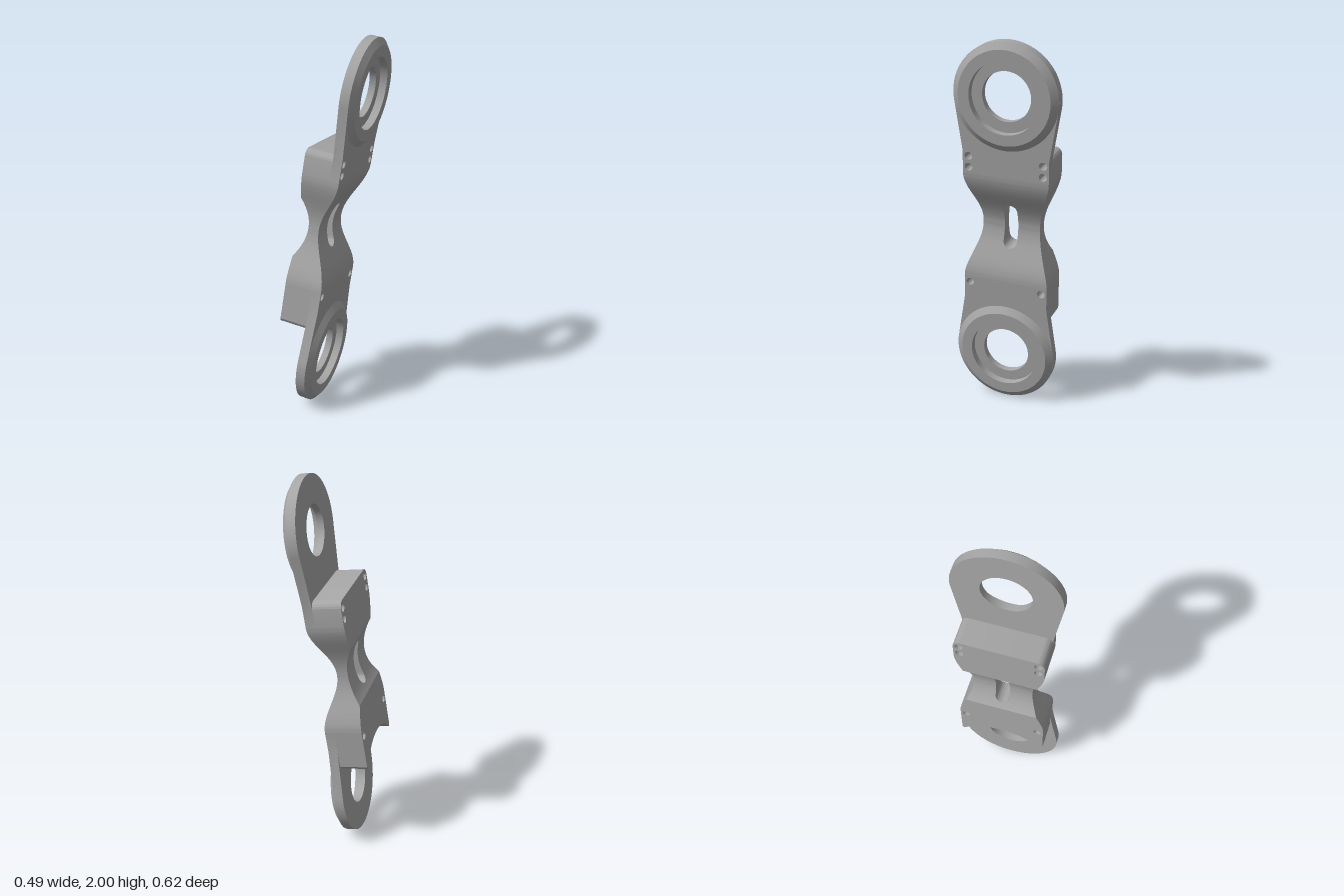
import * as THREE from 'three';
import { toCreasedNormals } from 'three/addons/utils/BufferGeometryUtils.js';

// Local frame: X = thickness (front face +X), Y = along the link, Z = width
const REACH = 0.727;   // ring centre distance from the middle
const RING = 0.28;     // ring outer radius
const HALF = 0.235;    // half width of the blocks
const SPLIT = 0.3;     // where the waist meets the end blocks
const PLATE = 0.05;    // plate front
const BACK = -0.15;    // block back

const ease = (t) => t * t * (3 - 2 * t);
const halfWidth = (y) => 0.16 + (HALF - 0.16) * ease(Math.pow(Math.min(1, Math.abs(y) / SPLIT), 1.15));
const frontX = (y) => -0.042 + (PLATE + 0.042) * (1 - Math.cos(Math.PI * Math.min(1, Math.abs(y) / SPLIT))) / 2;
const backX = (y) => (Math.abs(y) > 0.16 ? BACK : -0.1 - 0.05 * (y / 0.16) ** 2);

// Half width of the slot with round ends, zero outside it
const SLOT_R = 0.038, SLOT_END = 0.125;
function slot(y) {
  const over = Math.abs(y) - (SLOT_END - SLOT_R);
  if (over <= 0) return SLOT_R;
  return over >= SLOT_R ? 0 : Math.sqrt(SLOT_R * SLOT_R - over * over);
}

// One half of the waist, lofted from four-cornered sections
function waistHalf(side) {
  const ys = [];
  for (let i = 0; i <= 60; i++) ys.push(-SPLIT + (2 * SPLIT * i) / 60);
  for (let i = 0; i <= 10; i++) {
    const e = SLOT_END - SLOT_R + SLOT_R * Math.sin((i / 10) * Math.PI / 2);
    ys.push(e, -e);
  }
  ys.push(0.16, -0.16);
  ys.sort((a, b) => a - b);
  const rows = ys.filter((y, i) => i === 0 || y - ys[i - 1] > 1e-5).map((y) => {
    const a = slot(y) * side, b = halfWidth(y) * side, f = frontX(y), k = backX(y);
    return [[f, y, a], [f, y, b], [k, y, b], [k, y, a]];
  });
  const pos = [];
  for (let i = 0; i < rows.length - 1; i++) {
    const p = rows[i], q = rows[i + 1];
    for (let c = 0; c < 4; c++) {
      const d = (c + 1) % 4;
      // the inner wall exists only along the slot
      if (c === 3 && Math.abs(p[0][2]) < 1e-6 && Math.abs(q[0][2]) < 1e-6) continue;
      const quad = side > 0 ? [p[c], q[c], q[d], p[c], q[d], p[d]] : [p[c], q[d], q[c], p[c], p[d], q[d]];
      quad.forEach((v) => pos.push(...v));
    }
  }
  const g = new THREE.BufferGeometry();
  g.setAttribute('position', new THREE.Float32BufferAttribute(pos, 3));
  return toCreasedNormals(g, 0.5);
}

// Extrude a (width, length) shape between two X levels
function slab(shape, x0, x1) {
  const g = new THREE.ExtrudeGeometry(shape, { depth: x1 - x0, bevelEnabled: false, curveSegments: 40 });
  g.translate(0, 0, x0);
  g.rotateY(Math.PI / 2);
  return toCreasedNormals(g, 0.5);
}

function punch(shape, x, y, r) {
  shape.holes.push(new THREE.Path().absarc(x, y, r, 0, Math.PI * 2, true));
}

function screwHoles(shape, rows) {
  for (const y of rows) for (const s of [-1, 1]) punch(shape, s * 0.203, y, 0.021);
}

// End plate tapering out to a round eye
function plateShape(rows) {
  const s = new THREE.Shape();
  const t = 0.157;
  s.moveTo(-HALF, SPLIT);
  s.lineTo(HALF, SPLIT);
  s.lineTo(HALF, 0.42);
  s.absarc(0, REACH, RING, -t, Math.PI + t, false);
  s.lineTo(-HALF, 0.42);
  s.closePath();
  screwHoles(s, rows);
  punch(s, 0, REACH, 0.2);
  return s;
}

// Upper block with rounded outer corners
function upperBlockShape(rows) {
  const s = new THREE.Shape(), r = 0.04, top = 0.432;
  s.moveTo(-HALF, SPLIT);
  s.lineTo(HALF, SPLIT);
  s.absarc(HALF - r, top - r, r, 0, Math.PI / 2, false);
  s.absarc(-HALF + r, top - r, r, Math.PI / 2, Math.PI, false);
  s.closePath();
  screwHoles(s, rows);
  return s;
}

// Lower block with an arc cut clear of the eye
function lowerBlockShape(rows) {
  const s = new THREE.Shape(), a = 0.742;
  s.moveTo(-HALF, SPLIT);
  s.lineTo(HALF, SPLIT);
  s.lineTo(HALF, 0.505);
  s.absarc(0, REACH, 0.305, -a, -Math.PI + a, true);
  s.lineTo(-HALF, 0.505);
  s.closePath();
  screwHoles(s, rows);
  return s;
}

// Bevelled ring with a stepped bore
function ringGeometry() {
  const profile = [[RING, 0.05], [0.245, 0.076], [0.187, 0.076], [0.187, 0.036], [0.13, 0.036], [0.13, 0], [0.201, 0]]
    .map(([r, h]) => new THREE.Vector2(r, h));
  const g = new THREE.LatheGeometry(profile, 72);
  g.rotateZ(-Math.PI / 2);
  g.translate(0, REACH, 0);
  return toCreasedNormals(g, 0.4);
}

export function createModel() {
  const metal = new THREE.MeshStandardMaterial({ color: 0xa6a6a6 });
  metal.name = 'grey metal';
  const link = new THREE.Group();
  link.name = 'link';
  const add = (parent, name, geometry) => {
    const m = new THREE.Mesh(geometry, metal);
    m.name = name;
    parent.add(m);
  };

  add(link, 'waistLeft', waistHalf(1));
  add(link, 'waistRight', waistHalf(-1));

  // Both ends are built pointing up; the lower one is turned over
  const ends = [
    { name: 'upper', rows: [0.333, 0.393], block: upperBlockShape, turn: 0 },
    { name: 'lower', rows: [0.332], block: lowerBlockShape, turn: Math.PI },
  ];
  for (const e of ends) {
    const end = new THREE.Group();
    end.name = e.name + 'End';
    add(end, e.name + 'Plate', slab(plateShape(e.rows), 0, PLATE));
    add(end, e.name + 'Block', slab(e.block(e.rows), BACK, 0));
    add(end, e.name + 'Ring', ringGeometry());
    end.rotation.x = e.turn;
    link.add(end);
  }

  // Lean the whole link
  const up = new THREE.Vector3(0.148, 0.988, -0.038).normalize();
  const wide = new THREE.Vector3(-0.14, 0.062, 0.988);
  const out = new THREE.Vector3().crossVectors(up, wide).normalize();
  wide.crossVectors(out, up);
  link.applyMatrix4(new THREE.Matrix4().makeBasis(out, up, wide).setPosition(0.0125, 1.004, 0));

  const model = new THREE.Group();
  model.name = 'model';
  model.add(link);
  return model;
}
